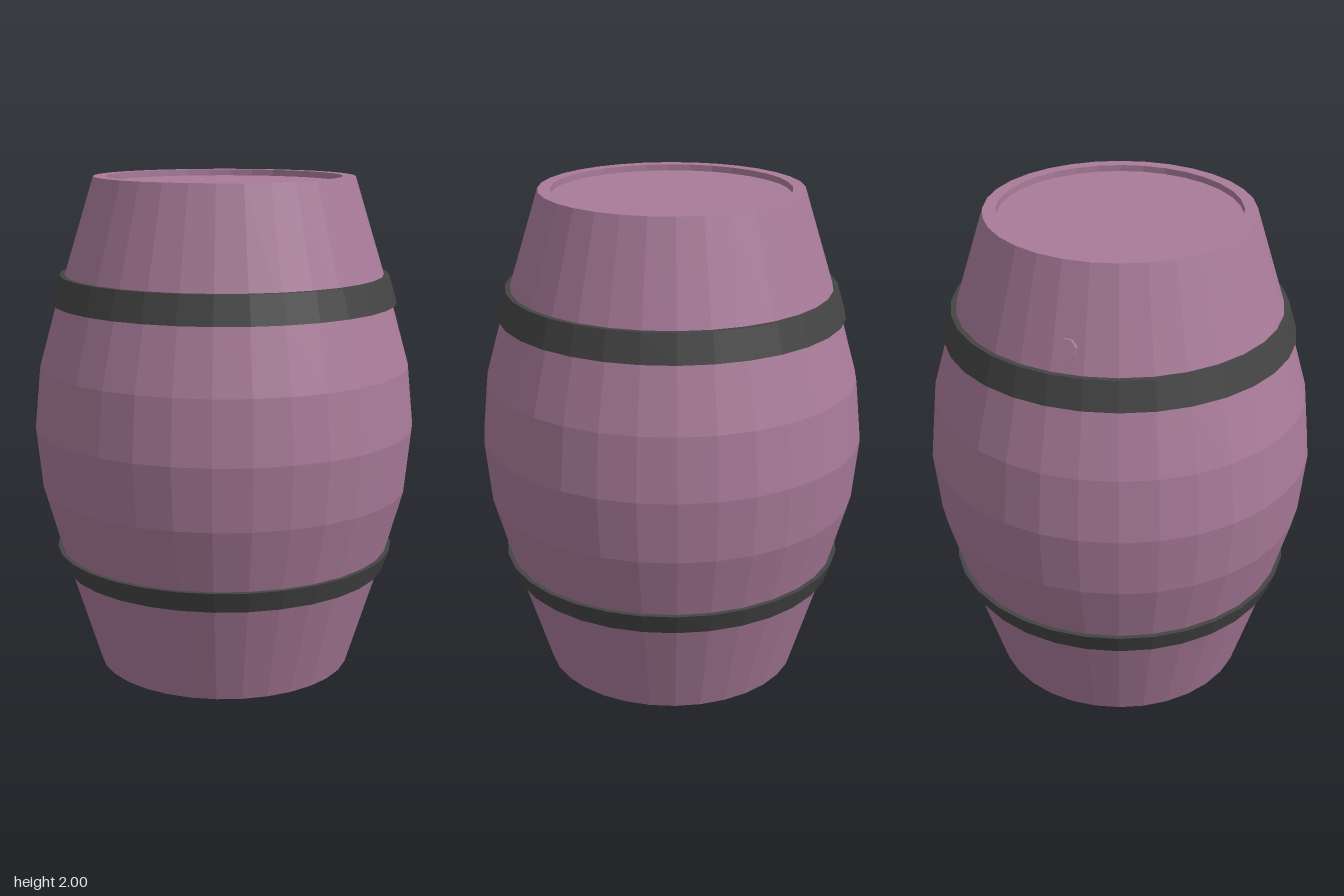
import * as THREE from 'three';

const SIDES = 32;

// Faceted solid of revolution from [radius, height] points
function turned(name, points, material) {
  const profile = points.map(([r, y]) => new THREE.Vector2(r, y));
  const mesh = new THREE.Mesh(new THREE.LatheGeometry(profile, SIDES), material);
  mesh.name = name;
  return mesh;
}

export function createModel() {
  const group = new THREE.Group();
  group.name = 'barrel';
  const wood = new THREE.MeshStandardMaterial({ color: 0xa97b9a, flatShading: true });
  const iron = new THREE.MeshStandardMaterial({ color: 0x444444, flatShading: true });

  // Bulging staves with a flat base and a recessed lid
  group.add(turned('body', [
    [0, 0], [0.52, 0], [0.675, 0.5], [0.745, 0.75], [0.77, 1],
    [0.745, 1.25], [0.675, 1.5], [0.52, 2], [0.47, 2], [0.47, 1.975], [0, 1.975],
  ], wood));

  // Slanted hoops, closed bands standing proud of the staves
  group.add(turned('lowerHoop', [
    [0.64, 0.413], [0.664, 0.413], [0.693, 0.497], [0.665, 0.497], [0.64, 0.413],
  ], iron));
  group.add(turned('upperHoop', [
    [0.665, 1.503], [0.693, 1.503], [0.66, 1.615], [0.63, 1.615], [0.665, 1.503],
  ], iron));

  // Bung set square to the sloping staves at the back
  const bung = new THREE.Mesh(new THREE.CylinderGeometry(0.042, 0.042, 0.05, 8), wood);
  bung.name = 'bung';
  const out = new THREE.Vector3(-0.46, 0, -0.888).normalize();
  const normal = out.clone().setY(0.31).normalize();
  bung.position.copy(out).multiplyScalar(0.613).setY(1.7).addScaledVector(normal, -0.008);
  bung.quaternion.setFromUnitVectors(new THREE.Vector3(0, 1, 0), normal);
  group.add(bung);

  return group;
}
